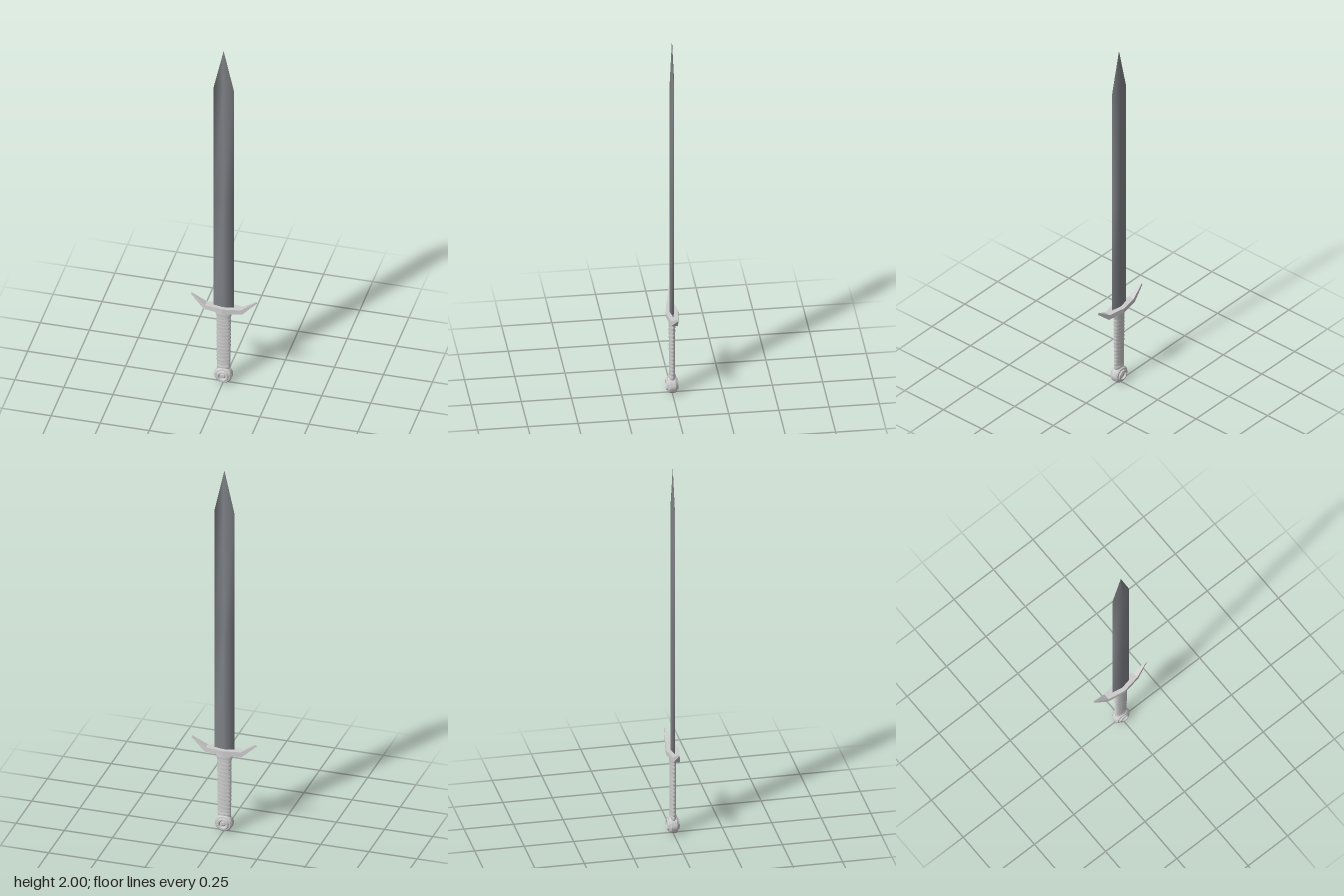
import * as THREE from 'three';
import { toCreasedNormals } from 'three/addons/utils/BufferGeometryUtils.js';

// Skin a list of rings of [x, y, z] points, closing both ends
function loft(rings, caps = true) {
  const n = rings[0].length, index = [];
  for (let i = 0; i < rings.length - 1; i++) {
    for (let j = 0; j < n; j++) {
      const a = i * n + j, b = i * n + (j + 1) % n;
      index.push(a, b, b + n, a, b + n, a + n);
    }
  }
  if (caps) {
    const e = (rings.length - 1) * n;
    for (let j = 1; j < n - 1; j++) index.push(0, j + 1, j, e, e + j, e + j + 1);
  }
  const g = new THREE.BufferGeometry();
  g.setAttribute('position', new THREE.Float32BufferAttribute(rings.flat(2), 3));
  g.setIndex(index);
  g.computeVertexNormals();
  return g;
}

const lathe = (pts, seg) => new THREE.LatheGeometry(pts.map(p => new THREE.Vector2(p[0], p[1])), seg);

export function createModel() {
  const model = new THREE.Group();
  const steel = new THREE.MeshStandardMaterial({ name: 'dark steel', color: 0x7f8287 });
  const silver = new THREE.MeshStandardMaterial({ name: 'pale silver', color: 0xcccccc });
  const add = (name, geometry, material) => {
    const mesh = new THREE.Mesh(geometry, material);
    mesh.name = name;
    model.add(mesh);
    return mesh;
  };

  // Blade: diamond section tapering to a point, softly shaded
  const diamond = (y, w, d) => [[0, y, d], [w, y, 0], [0, y, -d], [-w, y, 0]];
  add('blade', loft([
    diamond(0.44, 0.052, 0.011), diamond(1.1, 0.052, 0.011),
    diamond(1.77, 0.052, 0.011), diamond(2, 0.0004, 0.0004),
  ], false), steel);

  // Crossguard: flat bar, widest at the middle, with upswept ends
  const stations = [ // x, bottom, top, back z, front z, lean of the top edge
    [-0.168, 0.494, 0.504, -0.008, -0.005, 0.003],
    [-0.097, 0.43, 0.455, -0.018, 0.016, 0.006],
    [0, 0.43, 0.455, -0.034, 0.032, 0],
    [0.097, 0.43, 0.455, -0.018, 0.016, -0.006],
    [0.168, 0.494, 0.504, -0.008, -0.005, -0.003],
  ];
  const guard = loft(stations.map(([x, b, t, back, front, lean]) => [
    [x + lean, t, back], [x + lean, t, front], [x, b, front], [x, b, back],
  ]));
  add('crossguard', toCreasedNormals(guard, 0.2), silver);

  // Grip: oval handle with slightly slanted wrapped ridges
  const wraps = 15, y0 = 0.08, step = (0.405 - y0) / wraps, profile = [];
  for (let i = 0; i < wraps; i++) {
    const r = 0.034 + 0.003 * i / wraps, y = y0 + i * step;
    profile.push([r - 0.002, y], [r + 0.001, y + step * 0.3], [r + 0.001, y + step * 0.7]);
  }
  profile.push([0.036, 0.405]);
  const grip = lathe(profile, 20);
  const p = grip.attributes.position;
  for (let i = 0; i < p.count; i++) p.setY(i, p.getY(i) + p.getX(i) * 0.12);
  grip.scale(1, 1, 0.42);
  grip.computeVertexNormals();
  add('grip', toCreasedNormals(grip, 0.8), silver);

  // Collar flaring under the guard
  const collar = lathe([[0.034, 0.39], [0.041, 0.405], [0.041, 0.418], [0.036, 0.432]], 20);
  collar.scale(1, 1, 0.42);
  add('gripCollar', toCreasedNormals(collar, 0.6), silver);

  // Pommel: round disc facing front and back, with stepped rings
  const half = [[0, 0.026], [0.009, 0.025], [0.013, 0.021], [0.017, 0.021],
    [0.021, 0.03], [0.027, 0.03], [0.031, 0.023], [0.038, 0.022], [0.045, 0.014]];
  const rim = half.map(([r, z]) => [r, -z]).concat(half.slice().reverse());
  const pommel = add('pommel', toCreasedNormals(lathe(rim, 28), 0.6), silver);
  pommel.rotation.x = Math.PI / 2;
  pommel.position.set(0, 0.045, 0);

  // Neck between the pommel and the grip
  const neck = lathe([[0.026, 0.075], [0.034, 0.088], [0.034, 0.097], [0.03, 0.104]], 20);
  neck.scale(1, 1, 0.5);
  add('pommelNeck', toCreasedNormals(neck, 0.6), silver);

  return model;
}
